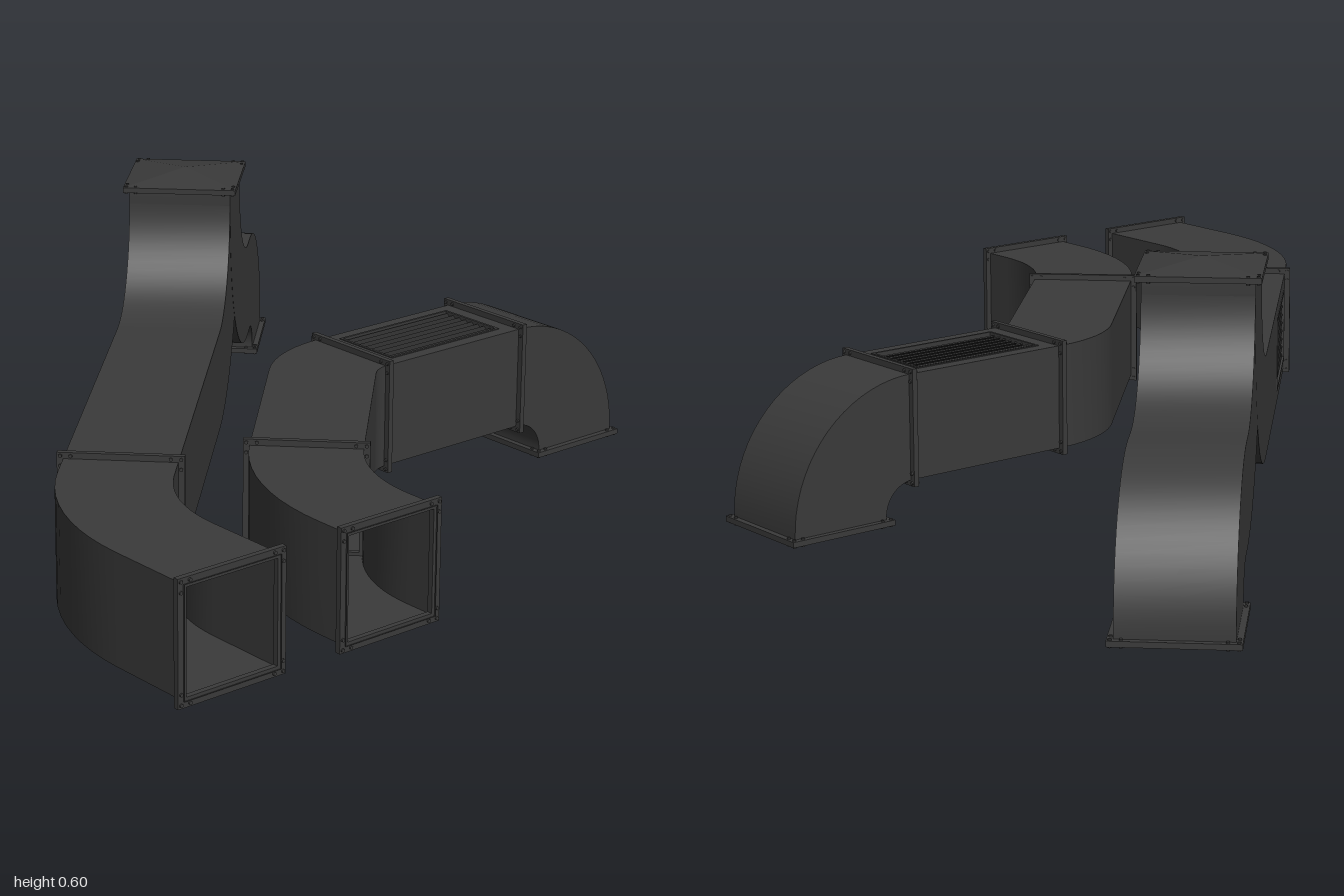
import * as THREE from 'three';

const HALF = 0.115;   // half width of the square duct
const RIM = 0.128;    // half width of the flanges
const VENT = 0.4;     // length of a wall panel holding a grille
const CORNERS = [[-1, -1], [1, -1], [1, 1], [-1, 1]];
const LEFT = 3, TOP = 2; // wall numbers

const metal = new THREE.MeshStandardMaterial({ color: 0x3a3a3a, side: THREE.DoubleSide });
const metalFlat = new THREE.MeshStandardMaterial({ color: 0x3a3a3a, flatShading: true });
const dark = new THREE.MeshStandardMaterial({ color: 0x1c1c1c, side: THREE.DoubleSide });

function mesh(name, geometry, material, parent) {
  const m = new THREE.Mesh(geometry, material);
  m.name = name;
  parent.add(m);
  return m;
}

function rectangle(w, h, Type = THREE.Shape) {
  return new Type([[-w, -h], [w, -h], [w, h], [-w, h]].map(([x, y]) => new THREE.Vector2(x, y)));
}

// Square collar with three small bolts in each corner, local z along the duct
function makeFlange() {
  const g = new THREE.Group();
  g.name = 'flange';
  const shape = rectangle(RIM, RIM);
  shape.holes.push(rectangle(0.108, 0.108, THREE.Path));
  const ring = new THREE.ExtrudeGeometry(shape, { depth: 0.012, bevelEnabled: false });
  mesh('flangeRing', ring.translate(0, 0, -0.006), metal, g);
  const bolt = new THREE.CylinderGeometry(0.004, 0.004, 0.018, 6).rotateX(Math.PI / 2);
  for (const [sx, sy] of CORNERS) {
    for (const [x, y] of [[0.121, 0.121], [0.121, 0.1], [0.1, 0.121]]) {
      mesh('bolt', bolt, metal, g).position.set(sx * x, sy * y, 0);
    }
  }
  return g;
}

// Wall panel with a louvred opening, local x along the duct, z outward
function makeVent() {
  const g = new THREE.Group();
  g.name = 'grille';
  const w = 0.155, h = 0.08;
  const panel = rectangle(VENT / 2, HALF);
  panel.holes.push(rectangle(w, h, THREE.Path));
  mesh('ventPanel', new THREE.ShapeGeometry(panel), metal, g);
  const frame = rectangle(w + 0.006, h + 0.006);
  frame.holes.push(rectangle(w, h, THREE.Path));
  const frameGeo = new THREE.ExtrudeGeometry(frame, { depth: 0.022, bevelEnabled: false });
  mesh('ventFrame', frameGeo.translate(0, 0, -0.02), metal, g);
  mesh('ventBack', new THREE.PlaneGeometry(2 * w, 2 * h), dark, g).position.z = -0.02;
  for (let i = 0; i < 8; i++) {
    const slat = mesh('slat', new THREE.BoxGeometry(2 * w, 0.018, 0.003), dark, g);
    slat.position.set(0, (i - 3.5) * 0.02, -0.009);
    slat.rotation.x = 0.7;
  }
  return g;
}

// Sweeps the square section along a list of moves:
// go length | yaw angle radius | pitch angle radius | vent wall | flange offset
function makeDuct(name, start, forward, upward, moves) {
  const g = new THREE.Group();
  g.name = name;
  const p = start.clone(), f = forward.clone(), u = upward.clone();
  const right = () => f.clone().cross(u);
  const sections = [];
  const record = (openWall = -1) => {
    const r = right();
    const ring = CORNERS.map(([a, b]) => p.clone().addScaledVector(r, a * HALF).addScaledVector(u, b * HALF));
    sections.push({ ring, openWall });
  };
  const place = (part, x, y, z, pos) => {
    part.quaternion.setFromRotationMatrix(new THREE.Matrix4().makeBasis(x, y, z));
    part.position.copy(pos);
    g.add(part);
  };
  record();
  for (const [kind, a, radius] of moves) {
    if (kind === 'go') {
      p.addScaledVector(f, a);
      record();
    } else if (kind === 'flange') {
      place(makeFlange(), right(), u, f.clone().negate(), p.clone().addScaledVector(f, a));
    } else if (kind === 'vent') {
      const n = a === TOP ? u.clone() : right().negate();
      const pos = p.clone().addScaledVector(f, VENT / 2).addScaledVector(n, HALF);
      place(makeVent(), f.clone(), n.clone().cross(f), n, pos);
      p.addScaledVector(f, VENT);
      record(a);
    } else {
      const angle = THREE.MathUtils.degToRad(a), sign = Math.sign(a), steps = Math.abs(a) > 60 ? 18 : 10;
      const axis = kind === 'yaw' ? u.clone() : right();
      const toCentre = kind === 'yaw' ? right().multiplyScalar(-sign) : u.clone().multiplyScalar(sign);
      const centre = p.clone().addScaledVector(toCentre, radius);
      for (let i = 0; i < steps; i++) {
        p.sub(centre).applyAxisAngle(axis, angle / steps).add(centre);
        f.applyAxisAngle(axis, angle / steps);
        u.applyAxisAngle(axis, angle / steps);
        record();
      }
    }
  }
  // Each wall has its own vertices, so the long edges stay sharp
  const positions = [], index = [];
  for (let k = 0; k < 4; k++) {
    sections.forEach(({ ring, openWall }, i) => {
      const v = positions.length / 3;
      positions.push(...ring[k].toArray(), ...ring[(k + 1) % 4].toArray());
      if (i > 0 && openWall !== k) index.push(v - 2, v, v - 1, v, v + 1, v - 1);
    });
  }
  const geo = new THREE.BufferGeometry();
  geo.setAttribute('position', new THREE.Float32BufferAttribute(positions, 3));
  geo.setIndex(index);
  geo.computeVertexNormals();
  mesh(name + 'Walls', geo, metal, g);
  return g;
}

export function createModel() {
  const model = new THREE.Group();
  model.name = 'ventilationDucts';
  const V = (x, y, z) => new THREE.Vector3(x, y, z);
  const up = V(0, 1, 0), back = V(0, 0, -1), down = V(0, -1, 0);
  const diagonal = V(1, 0, -1).normalize();
  const endElbow = [['pitch', -90, 0.185], ['go', 0.02], ['flange', -0.009]];

  // Long diagonal duct, bending up into the riser
  model.add(makeDuct('longDuct', V(-0.79, 0.205, 1), back, up, [
    ['flange', 0.009], ['go', 0.2], ['yaw', -45, 0.46], ['go', 0.078], ['flange', 0],
    ['vent', LEFT], ['go', 0.429], ['pitch', 90, 0.345], ['go', 0.035], ['flange', -0.006],
  ]));

  // Second leg of the riser, dipping to horizontal and then down to the ground
  model.add(makeDuct('riserBranch', V(0.23, 0.585, -0.41), down, diagonal, [
    ['go', 0.035], ['pitch', 90, 0.345], ['go', 0.05], ...endElbow,
  ]));

  // Shallow pyramid closing the riser
  const cap = mesh('riserCap', new THREE.ConeGeometry(RIM * Math.SQRT2, 0.018, 4), metalFlat, model);
  cap.position.set(0.23, 0.594, -0.41);

  // Short duct with two plan bends and a grille on top
  model.add(makeDuct('shortDuct', V(-0.4, 0.205, 1), back, up, [
    ['flange', 0.009], ['go', 0.08], ['yaw', -45, 0.46], ['flange', 0], ['go', 0.467],
    ['yaw', -45, 0.19], ['flange', 0], ['vent', TOP], ['flange', 0], ...endElbow,
  ]));

  return model;
}
